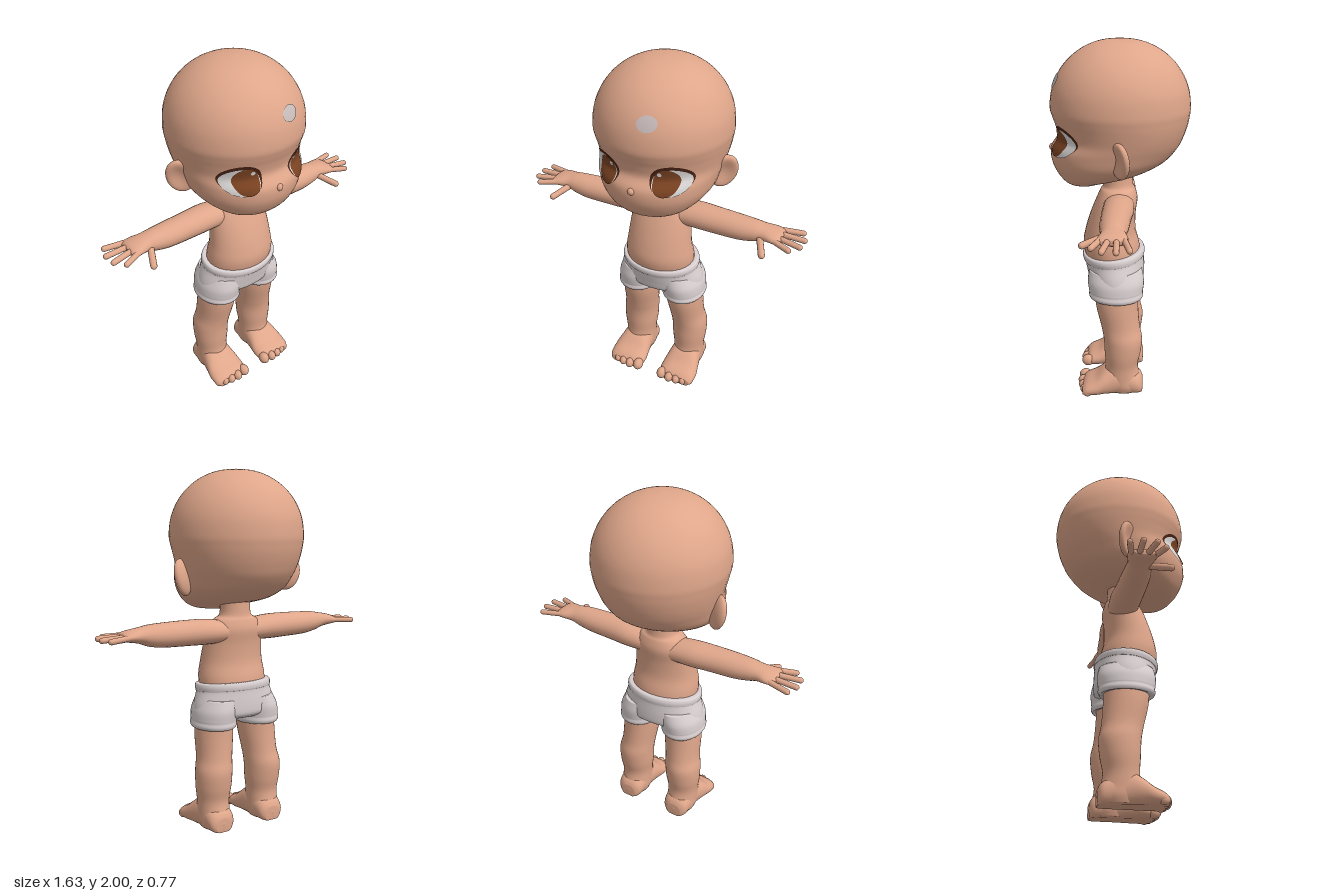
import * as THREE from 'three';

const mat = (name, color) => Object.assign(new THREE.MeshStandardMaterial({ color }), { name });

// Catmull-Rom interpolation of a list of number rows, u in 0..rows-1
function sample(rows, u) {
  const i = Math.min(Math.floor(u), rows.length - 2), t = u - i;
  const at = k => rows[Math.max(0, Math.min(rows.length - 1, k))];
  return rows[i].map((_, c) => {
    const [a, b, d, e] = [at(i - 1)[c], at(i)[c], at(i + 1)[c], at(i + 2)[c]];
    return b + 0.5 * t * (d - a + t * (2 * a - 5 * b + 4 * d - e + t * (3 * (b - d) + e - a)));
  });
}

// Closed smooth skin through cross-sections; place(row, cos, sin) gives a point
function loft(rows, place, sides = 32, steps = 5) {
  const pos = [], idx = [], n = (rows.length - 1) * steps;
  for (let i = 0; i <= n; i++) {
    const row = sample(rows, i / steps);
    for (let j = 0; j < sides; j++) {
      const a = (j / sides) * Math.PI * 2;
      pos.push(...place(row, Math.cos(a), Math.sin(a)));
    }
  }
  for (let i = 0; i < n; i++) for (let j = 0; j < sides; j++) {
    const a = i * sides + j, b = i * sides + (j + 1) % sides;
    idx.push(a, a + sides, b, b, a + sides, b + sides);
  }
  // end caps
  for (const end of [0, n]) {
    const c = [0, 0, 0], o = end * sides, centre = pos.length / 3;
    for (let j = 0; j < sides; j++) for (let k = 0; k < 3; k++) c[k] += pos[(o + j) * 3 + k] / sides;
    pos.push(...c);
    for (let j = 0; j < sides; j++) {
      const a = o + j, b = o + (j + 1) % sides;
      idx.push(centre, end ? b : a, end ? a : b);
    }
  }
  const g = new THREE.BufferGeometry();
  g.setAttribute('position', new THREE.Float32BufferAttribute(pos, 3));
  g.setIndex(idx);
  g.computeVertexNormals();
  return g;
}

// Section placers: upright [y, rx, zFront, zBack], limb [y, x, rx, zFront, zBack]
const upright = ([y, rx, zf, zb], c, s) => [rx * c, y, (zf + zb) / 2 + (zf - zb) / 2 * s];
const limb = ([y, x, rx, zf, zb], c, s) => [x + rx * c, y, (zf + zb) / 2 + (zf - zb) / 2 * s];

// Mirrored copy across x = 0 with its winding kept outward
function mirrored(g) {
  const m = g.clone().scale(-1, 1, 1), ix = m.index.array;
  for (let i = 0; i < ix.length; i += 3) [ix[i], ix[i + 1]] = [ix[i + 1], ix[i]];
  return m;
}

// Rounded rod between two points
function rod(a, b, r) {
  const p = new THREE.Vector3(...a), q = new THREE.Vector3(...b), d = q.clone().sub(p);
  const turn = new THREE.Quaternion().setFromUnitVectors(new THREE.Vector3(0, 1, 0), d.clone().normalize());
  const mid = p.add(q).multiplyScalar(0.5);
  return new THREE.CapsuleGeometry(r, d.length(), 6, 12).applyQuaternion(turn).translate(mid.x, mid.y, mid.z);
}

// Head sections from chin to crown
const headRows = [
  [1.228, 0.02, 0.24, 0.18], [1.235, 0.13, 0.285, 0.1], [1.26, 0.2, 0.315, 0.03],
  [1.3, 0.26, 0.345, -0.13], [1.36, 0.305, 0.37, -0.25], [1.43, 0.325, 0.372, -0.315],
  [1.49, 0.338, 0.337, -0.345], [1.55, 0.352, 0.345, -0.365], [1.6, 0.362, 0.362, -0.375],
];
for (let a = 0; a <= 90; a += 15) {
  const t = THREE.MathUtils.degToRad(a), k = Math.pow(Math.max(Math.cos(t), 0), 0.95);
  headRows.push([1.65 + 0.35 * Math.sin(t), 0.367 * k, 0.373 * k, -0.379 * k]);
}

// Front surface of the head at x, y
function faceZ(x, y) {
  let lo = 0, hi = headRows.length - 1;
  for (let i = 0; i < 30; i++) {
    const m = (lo + hi) / 2;
    if (sample(headRows, m)[0] < y) lo = m; else hi = m;
  }
  const [, rx, zf, zb] = sample(headRows, lo);
  return (zf + zb) / 2 + (zf - zb) / 2 * Math.sqrt(Math.max(0, 1 - (x / rx) ** 2));
}

// Oval patch lying on the face
function patch(cx, cy, rx, ry, lift) {
  const g = new THREE.RingGeometry(0.001, 1, 36, 8), p = g.attributes.position, e = 0.004;
  for (let i = 0; i < p.count; i++) {
    const x = cx + p.getX(i) * rx, y = cy + p.getY(i) * ry;
    const n = new THREE.Vector3(
      (faceZ(x - e, y) - faceZ(x + e, y)) / (2 * e), (faceZ(x, y - e) - faceZ(x, y + e)) / (2 * e), 1).normalize();
    p.setXYZ(i, x + n.x * lift, y + n.y * lift, faceZ(x, y) + n.z * lift);
  }
  g.computeVertexNormals();
  return g;
}

export function createModel() {
  const root = new THREE.Group();
  const skin = mat('skin', 0xdfa68a), cloth = mat('cloth', 0xd9cfd0), white = mat('eyeWhite', 0xdedada);
  const iris = mat('iris', 0x7c4322), lash = mat('lash', 0x4a2415), shine = mat('foreheadSpot', 0xc9bcbb);
  const add = (name, g, m) => {
    const mesh = new THREE.Mesh(g, m);
    mesh.name = name;
    root.add(mesh);
  };
  const pair = (name, g, m) => {
    add(name + 'Left', g, m);
    add(name + 'Right', mirrored(g), m);
  };

  // Head, nose and forehead spot
  add('head', loft(headRows, upright, 48), skin);
  add('nose', new THREE.SphereGeometry(0.02, 16, 12).translate(0, 1.42, 0.366), skin);
  add('foreheadSpot', patch(0.075, 1.79, 0.05, 0.037, 0.004), shine);

  // Eyes: layered thin ovals
  for (const [side, s] of [['Left', 1], ['Right', -1]]) {
    add('lash' + side, patch(s * 0.178, 1.492, 0.094, 0.08, 0.003), lash);
    add('eyeWhite' + side, patch(s * 0.18, 1.48, 0.085, 0.073, 0.005), white);
    add('iris' + side, patch(s * 0.16, 1.482, 0.06, 0.073, 0.007), iris);
    add('eyeGlint' + side, patch(s * 0.13, 1.527, 0.01, 0.012, 0.009), white);
  }

  // Ears: flattened balls with a hollow front
  const ear = new THREE.SphereGeometry(1, 28, 20), ep = ear.attributes.position;
  for (let i = 0; i < ep.count; i++) {
    const r2 = ep.getX(i) ** 2 + ep.getY(i) ** 2;
    if (ep.getZ(i) > 0) ep.setZ(i, ep.getZ(i) * (0.1 + 1.1 * r2));
  }
  ear.scale(0.075, 0.1, 0.034).rotateY(0.65).rotateZ(-0.25).translate(0.338, 1.43, -0.012);
  ear.computeVertexNormals();
  pair('ear', ear, skin);

  // Torso and neck
  add('torso', loft([
    [0.76, 0.195, 0.18, -0.12], [0.86, 0.2, 0.205, -0.112], [0.95, 0.187, 0.192, -0.09],
    [1.05, 0.176, 0.162, -0.09], [1.13, 0.165, 0.13, -0.1], [1.185, 0.13, 0.105, -0.088],
    [1.215, 0.09, 0.09, -0.075], [1.31, 0.086, 0.1, -0.07],
  ], upright), skin);

  // Arms with palm: rows are [x, y, z, ry, rz]
  pair('arm', loft([
    [0.06, 1.12, 0, 0.06, 0.08], [0.2, 1.127, 0.0, 0.07, 0.085], [0.32, 1.128, 0.006, 0.07, 0.08],
    [0.46, 1.128, 0.01, 0.066, 0.075], [0.54, 1.132, 0.01, 0.057, 0.067], [0.59, 1.137, 0.008, 0.043, 0.063],
    [0.64, 1.138, 0.008, 0.033, 0.074], [0.68, 1.135, 0.012, 0.024, 0.076], [0.695, 1.134, 0.012, 0.012, 0.06],
  ], ([x, y, z, ry, rz], c, s) => [x, y + ry * c, z - rz * s], 24), skin);

  // Fingers: root x, root z, tip x, tip z
  [[0.65, -0.045, 0.778, -0.076], [0.66, -0.01, 0.802, -0.014], [0.66, 0.028, 0.797, 0.054], [0.65, 0.064, 0.753, 0.106]]
    .forEach(([x0, z0, x1, z1], i) => pair('finger' + (i + 1), rod([x0, 1.138, z0], [x1, 1.131, z1], 0.0155), skin));
  pair('thumb', rod([0.58, 1.125, 0.05], [0.632, 1.095, 0.158], 0.018), skin);

  // Legs
  pair('leg', loft([
    [0.7, 0.135, 0.1, 0.14, -0.11], [0.55, 0.142, 0.106, 0.13, -0.11], [0.42, 0.152, 0.1, 0.1, -0.12],
    [0.34, 0.163, 0.104, 0.085, -0.135], [0.25, 0.165, 0.102, 0.08, -0.127], [0.17, 0.165, 0.092, 0.075, -0.112],
    [0.1, 0.165, 0.09, 0.085, -0.125], [0.05, 0.165, 0.088, 0.08, -0.142], [0.012, 0.165, 0.075, 0.07, -0.125],
  ].reverse(), limb), skin);

  // Feet: rows are [z, x, rx, top], flattened underneath
  pair('foot', loft([
    [-0.14, 0.165, 0.045, 0.08], [-0.11, 0.165, 0.078, 0.12], [0, 0.165, 0.09, 0.17], [0.07, 0.168, 0.102, 0.145],
    [0.13, 0.17, 0.113, 0.1], [0.18, 0.17, 0.11, 0.075], [0.205, 0.17, 0.095, 0.055],
  ], ([z, x, rx, top], c, s) => [x + rx * Math.sign(c) * Math.abs(c) ** 0.75, Math.max(0.006, top * (0.5 - 0.56 * s)), z]), skin);
  [[0.082, 0.198, 0.031], [0.135, 0.206, 0.027], [0.181, 0.202, 0.025], [0.222, 0.192, 0.024], [0.258, 0.176, 0.023]]
    .forEach(([x, z, r], i) => pair('toe' + (i + 1),
      new THREE.SphereGeometry(r, 16, 12).scale(0.95, 1.15, 1.2).translate(x, r * 1.15 + 0.004, z), skin));

  // Shorts: hips with a rolled waistband, tilted down to the front
  add('shortsHips', loft([
    [0.64, 0.2, 0.14, -0.11], [0.665, 0.25, 0.172, -0.138], [0.72, 0.247, 0.185, -0.142], [0.785, 0.225, 0.197, -0.138],
    [0.795, 0.226, 0.204, -0.142], [0.815, 0.228, 0.21, -0.143], [0.833, 0.221, 0.206, -0.136], [0.835, 0.2, 0.19, -0.12],
  ], (row, c, s) => {
    const [x, y, z] = upright(row, c, s);
    return [x, y - z * 0.09 * THREE.MathUtils.smoothstep(y, 0.68, 0.8), z];
  }, 40), cloth);

  // Shorts legs with rolled hems
  pair('shortsLeg', loft([
    [0.592, 0.14, 0.108, 0.14, -0.12], [0.588, 0.142, 0.118, 0.155, -0.13], [0.605, 0.142, 0.125, 0.167, -0.138],
    [0.625, 0.14, 0.122, 0.165, -0.136], [0.64, 0.139, 0.123, 0.168, -0.138], [0.69, 0.132, 0.122, 0.174, -0.142],
    [0.75, 0.115, 0.11, 0.165, -0.13],
  ], limb), cloth);

  return root;
}
